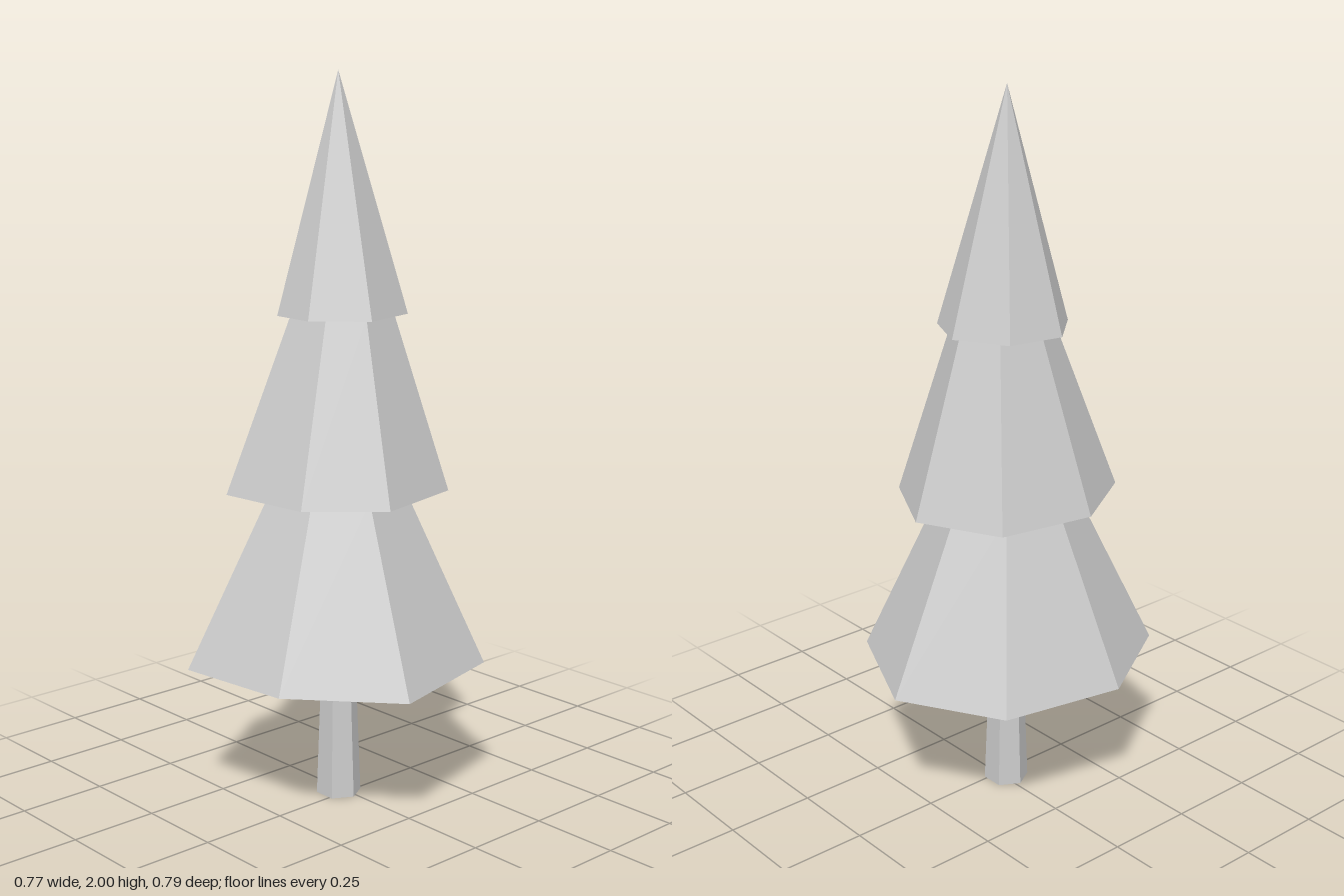
import * as THREE from 'three';

// One tier: an irregular ring at y0, tapering to a scaled copy (or a point) at y1
function tierGeometry(ring, y0, y1, scale, dx, dz) {
  const low = ring.map(([x, z]) => [x, y0, z]);
  const high = ring.map(([x, z]) => [x * scale + dx, y1, z * scale + dz]);
  const centre = [-0.02, y0, 0.01];
  const pos = [];
  for (let i = 0; i < ring.length; i++) {
    const j = (i + 1) % ring.length;
    pos.push(...low[j], ...low[i], ...high[i]);
    if (scale > 0) pos.push(...low[j], ...high[i], ...high[j]);
    pos.push(...centre, ...low[i], ...low[j]); // flat underside
  }
  const geo = new THREE.BufferGeometry();
  geo.setAttribute('position', new THREE.Float32BufferAttribute(pos, 3));
  geo.computeVertexNormals();
  return geo;
}

export function createModel() {
  const tree = new THREE.Group();
  tree.name = 'pineTree';
  const paleGrey = new THREE.MeshStandardMaterial({
    name: 'paleGrey', color: 0xcccccc, flatShading: true, side: THREE.DoubleSide,
  });

  // Branch tiers, each a seven-sided skirt
  const tiers = [
    {
      name: 'lowerBranches', y0: 0.4, y1: 0.885, scale: 0.45, dx: -0.008, dz: 0.01,
      ring: [[-0.038, -0.396], [0.288, -0.248], [0.383, 0.131], [0.125, 0.355],
        [-0.212, 0.394], [-0.384, 0.104], [-0.315, -0.24]],
    },
    {
      name: 'middleBranches', y0: 0.885, y1: 1.364, scale: 0.46, dx: -0.007, dz: -0.005,
      ring: [[-0.015, -0.297], [0.208, -0.181], [0.272, 0.097], [0.119, 0.27],
        [-0.156, 0.296], [-0.287, 0.079], [-0.238, -0.188]],
    },
    {
      name: 'topBranches', y0: 1.364, y1: 2, scale: 0, dx: -0.025, dz: 0.009,
      ring: [[-0.023, -0.175], [0.117, -0.112], [0.163, 0.062], [0.047, 0.18],
        [-0.085, 0.173], [-0.19, 0.056], [-0.16, -0.096]],
    },
  ];
  for (const t of tiers) {
    const mesh = new THREE.Mesh(tierGeometry(t.ring, t.y0, t.y1, t.scale, t.dx, t.dz), paleGrey);
    mesh.name = t.name;
    tree.add(mesh);
  }

  // Tapered six-sided trunk, open at the foot
  const trunkGeo = new THREE.CylinderGeometry(0.048, 0.063, 0.4, 6, 1, true);
  trunkGeo.rotateY(Math.PI / 6);
  const trunk = new THREE.Mesh(trunkGeo, paleGrey);
  trunk.name = 'trunk';
  trunk.position.set(-0.022, 0.2, 0.013);
  tree.add(trunk);

  return tree;
}
